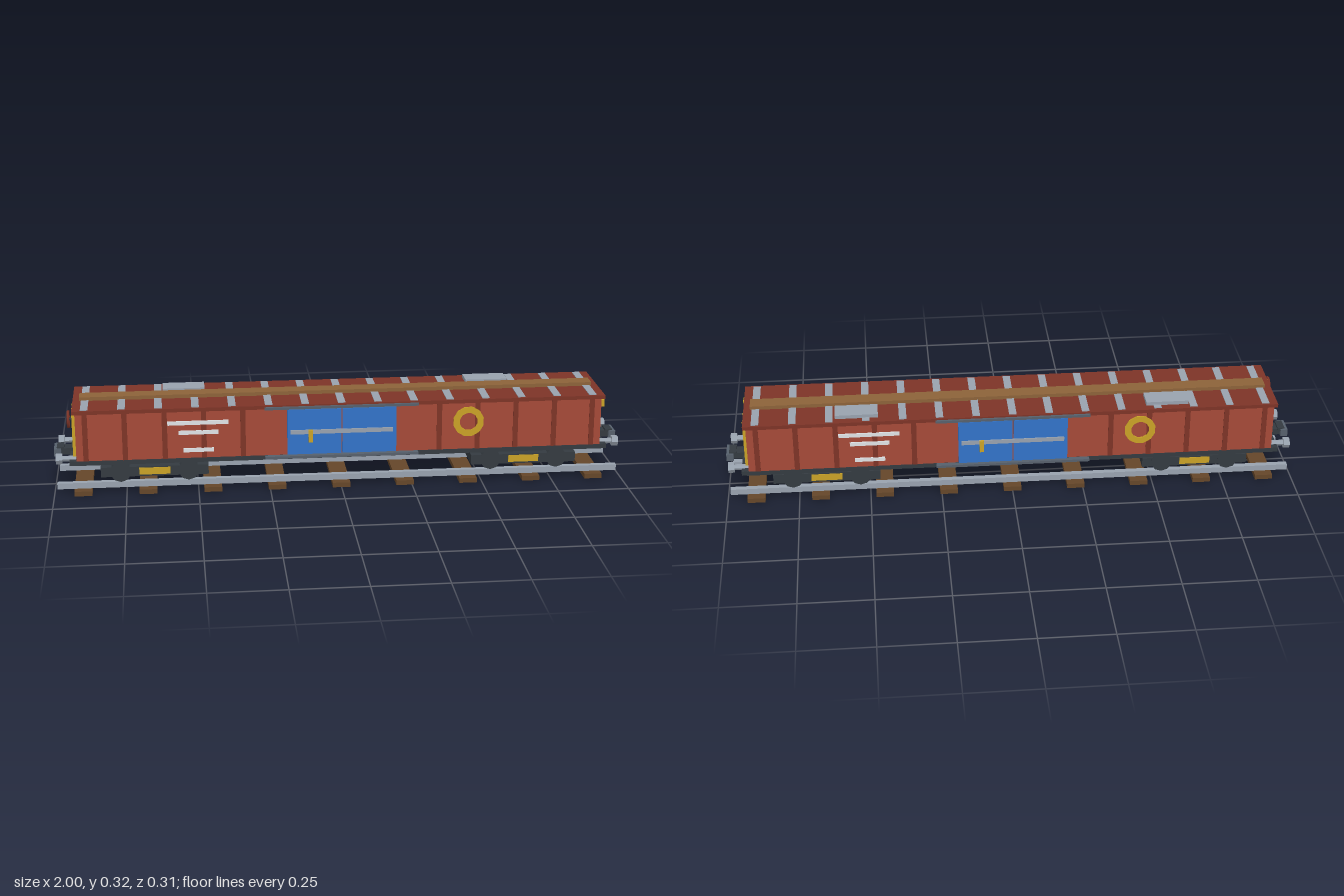
import * as THREE from 'three';

const mat = (name, color) => {
  const m = new THREE.MeshStandardMaterial({ color });
  m.name = name;
  return m;
};

export function createModel() {
  const red = mat('body red', 0xa54a38);
  const darkRed = mat('roof red', 0x7d3427);
  const blue = mat('door blue', 0x3273c8);
  const gold = mat('safety yellow', 0xc9a227);
  const slate = mat('slate grey', 0x56606c);
  const dark = mat('underframe dark', 0x343a40);
  const steel = mat('light steel', 0x98a2ae);
  const plank = mat('walkway wood', 0x8c6239);
  const tie = mat('sleeper wood', 0x654629);
  const white = mat('marking white', 0xdfe3e6);

  const model = new THREE.Group();
  model.name = 'boxcarOnTrack';

  const group = (name, parent = model) => {
    const g = new THREE.Group();
    g.name = name;
    parent.add(g);
    return g;
  };
  // Box given by its limits on each axis
  const box = (parent, name, m, [x0, x1], [y0, y1], [z0, z1]) => {
    const mesh = new THREE.Mesh(new THREE.BoxGeometry(x1 - x0, y1 - y0, z1 - z0), m);
    mesh.position.set((x0 + x1) / 2, (y0 + y1) / 2, (z0 + z1) / 2);
    mesh.name = name;
    parent.add(mesh);
    return mesh;
  };
  // Faceted cylinder along x or z
  const rod = (parent, name, m, axis, r, len, sides, x, y, z) => {
    const geo = new THREE.CylinderGeometry(r, r, len, sides).toNonIndexed();
    geo.computeVertexNormals();
    if (axis === 'x') geo.rotateZ(Math.PI / 2);
    else geo.rotateX(Math.PI / 2);
    const mesh = new THREE.Mesh(geo, m);
    mesh.position.set(x, y, z);
    mesh.name = name;
    parent.add(mesh);
    return mesh;
  };

  // Track
  const track = group('track');
  for (let i = -4; i <= 4; i++) {
    const x = i * 0.225;
    box(track, 'sleeper', tie, [x - 0.031, x + 0.031], [0, 0.017], [-0.135, 0.135]);
  }
  for (const s of [-1, 1]) {
    const z = s * 0.094;
    box(track, 'rail', steel, [-0.99, 0.99], [0.017, 0.038], [z - 0.01, z + 0.01]);
  }

  // Bogies
  for (const s of [-1, 1]) {
    const bogie = group('bogie');
    bogie.position.x = s * 0.651;
    box(bogie, 'bogieFrame', dark, [-0.187, 0.187], [0.057, 0.092], [-0.107, 0.107]);
    box(bogie, 'bolster', slate, [-0.04, 0.04], [0.09, 0.113], [-0.072, 0.072]);
    for (const wx of [-0.118, 0.118]) {
      rod(bogie, 'axle', dark, 'z', 0.01, 0.18, 8, wx, 0.075, 0);
      for (const wz of [-1, 1]) rod(bogie, 'wheel', dark, 'z', 0.037, 0.026, 10, wx, 0.075, wz * 0.095);
    }
    for (const z of [-1, 1]) {
      box(bogie, 'spring', gold, [-0.054, 0.054], [0.063, 0.088], [z * 0.105 - 0.004, z * 0.105 + 0.004]);
    }
  }

  // Underframe and body shell
  box(model, 'underframe', dark, [-0.925, 0.925], [0.112, 0.128], [-0.135, 0.135]);
  box(model, 'body', red, [-0.918, 0.918], [0.128, 0.3], [-0.134, 0.134]);
  box(model, 'roof', darkRed, [-0.928, 0.928], [0.299, 0.312], [-0.145, 0.145]);
  box(model, 'walkway', plank, [-0.905, 0.905], [0.312, 0.325], [-0.027, 0.027]);
  for (let i = -7; i <= 7; i++) {
    const x = i * 0.1265;
    box(model, 'roofRib', steel, [x - 0.013, x + 0.013], [0.308, 0.3145], [-0.137, 0.137]);
  }
  for (const x of [-0.542, 0.538]) {
    box(model, 'roofHatch', steel, [x - 0.074, x + 0.074], [0.31, 0.325], [-0.116, -0.045]);
  }

  // Both long sides, the back being the front turned half round
  for (const turn of [0, Math.PI]) {
    const side = group('side');
    side.rotation.y = turn;
    for (const x of [0.343, 0.478, 0.613, 0.75, 0.885]) {
      for (const s of [-1, 1]) {
        box(side, 'sideRib', darkRed, [s * x - 0.009, s * x + 0.009], [0.128, 0.3], [0.13, 0.1365]);
      }
    }
    // Sliding door with its rails, bar and latch
    box(side, 'doorPanel', blue, [-0.19, -0.002], [0.133, 0.295], [0.13, 0.149]);
    box(side, 'doorPanel', blue, [0.002, 0.19], [0.133, 0.295], [0.13, 0.149]);
    box(side, 'doorRail', slate, [-0.268, 0.268], [0.298, 0.307], [0.13, 0.153]);
    box(side, 'doorRail', slate, [-0.268, 0.268], [0.119, 0.128], [0.13, 0.153]);
    box(side, 'doorBar', steel, [-0.18, 0.178], [0.207, 0.222], [0.147, 0.153]);
    box(side, 'doorLatch', gold, [-0.117, -0.102], [0.178, 0.222], [0.147, 0.157]);
    // Painted bars
    for (const [x0, x1, y] of [[-0.603, -0.392, 0.256], [-0.565, -0.428, 0.221], [-0.55, -0.445, 0.157]]) {
      box(side, 'marking', white, [x0, x1], [y - 0.007, y + 0.007], [0.132, 0.1385]);
    }
    // Ring of short yellow blocks
    const ring = group('ringEmblem', side);
    ring.position.set(0.446, 0.229, 0.136);
    for (let i = 0; i < 12; i++) {
      const a = (i / 12) * Math.PI * 2;
      const b = box(ring, 'ringBlock', gold, [-0.011, 0.011], [-0.0135, 0.0135], [-0.003, 0.003]);
      b.position.set(Math.cos(a) * 0.042, Math.sin(a) * 0.042, 0);
      b.rotation.z = a;
    }
  }

  // Both ends: beam, coupler, buffers and ladder
  for (const turn of [0, Math.PI]) {
    const end = group('end');
    end.rotation.y = turn;
    box(end, 'endBeam', dark, [0.915, 0.943], [0.112, 0.128], [-0.133, 0.133]);
    box(end, 'couplerShank', dark, [0.93, 0.98], [0.116, 0.139], [-0.022, 0.022]);
    box(end, 'couplerHead', slate, [0.975, 1], [0.115, 0.141], [-0.035, 0.035]);
    box(end, 'couplerPin', dark, [0.965, 0.99], [0.135, 0.145], [-0.027, 0.027]);
    for (const s of [-1, 1]) {
      rod(end, 'bufferShank', steel, 'x', 0.01, 0.05, 6, 0.945, 0.128, s * 0.1);
      rod(end, 'bufferHead', steel, 'x', 0.019, 0.022, 6, 0.979, 0.128, s * 0.1);
    }
    for (const z of [-0.098, -0.045]) {
      box(end, 'ladderRail', gold, [0.915, 0.93], [0.137, 0.308], [z - 0.008, z + 0.008]);
    }
    box(end, 'ladderRung', gold, [0.915, 0.928], [0.216, 0.228], [-0.098, -0.045]);
  }

  // Lamp at one end, brake wheel at the other
  box(model, 'endLamp', gold, [0.915, 0.935], [0.26, 0.285], [0.088, 0.112]);
  const brake = group('brakeWheel');
  brake.position.set(-0.942, 0.265, 0.08);
  const rim = new THREE.Mesh(new THREE.TorusGeometry(0.027, 0.005, 6, 12), darkRed);
  rim.rotation.y = Math.PI / 2;
  rim.name = 'brakeRim';
  brake.add(rim);
  box(brake, 'brakeSpoke', darkRed, [-0.003, 0.003], [-0.027, 0.027], [-0.003, 0.003]);
  box(brake, 'brakeSpoke', darkRed, [-0.003, 0.003], [-0.003, 0.003], [-0.027, 0.027]);
  rod(brake, 'brakeShaft', dark, 'x', 0.005, 0.03, 6, 0.012, 0, 0);

  return model;
}
